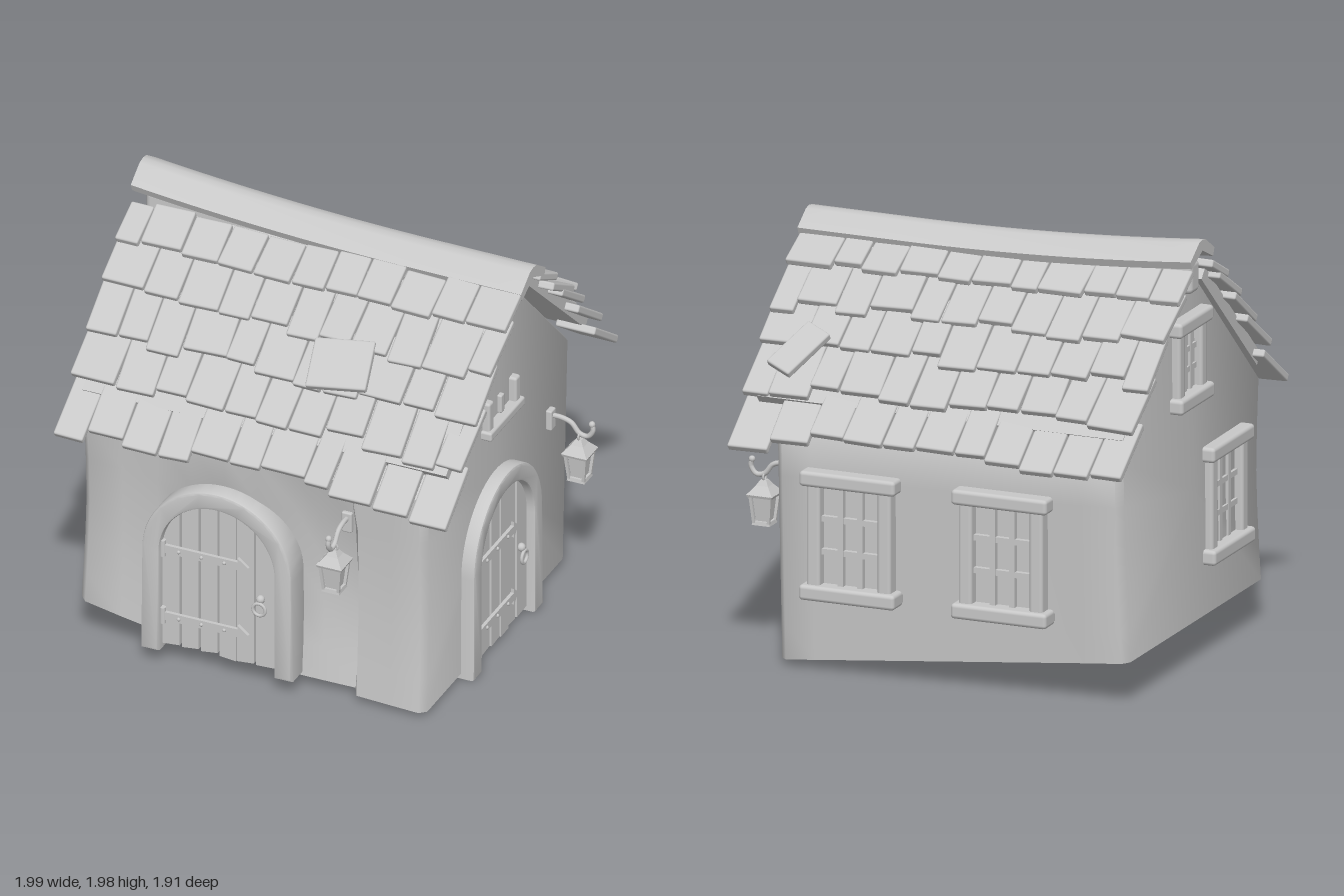
import * as THREE from 'three';
import { toCreasedNormals } from 'three/addons/utils/BufferGeometryUtils.js';
import { RoundedBoxGeometry } from 'three/addons/geometries/RoundedBoxGeometry.js';

const clay = new THREE.MeshStandardMaterial({ color: 0xc8c8c8 });
clay.name = 'clay grey';

let seed = 7;
const rnd = (a) => ((seed = (seed * 16807) % 2147483647) / 2147483647 - 0.5) * 2 * a;

function add(parent, name, geometry, x = 0, y = 0, z = 0) {
  const mesh = new THREE.Mesh(geometry, clay);
  mesh.name = name;
  mesh.position.set(x, y, z);
  parent.add(mesh);
  return mesh;
}
const box = (w, h, d) => new THREE.BoxGeometry(w, h, d);
const soft = (w, h, d) => new RoundedBoxGeometry(w, h, d, 2, Math.min(w, h, d) * 0.25);
const group = (name, x, y, z, ry = 0) => {
  const g = new THREE.Group();
  g.name = name;
  g.position.set(x, y, z);
  g.rotation.y = ry;
  return g;
};

// Crooked wall body: gable sections lofted along x, with a recess behind the front door
function wallGeometry() {
  const stations = [-0.89, -0.86, -0.7, -0.53, -0.36, -0.2, -0.04, 0.13, 0.25, 0.41, 0.44, 0.6, 0.74, 0.77];
  const levels = [0, 0.15, 0.35, 0.55, 0.78, 1];
  const pos = [], index = [];
  const ring = levels.length * 2 + 1;
  stations.forEach((x, i) => {
    const end = i === 0 || i === stations.length - 1 ? 0.03 : 0;
    const t = (0.77 - x) / 1.66;
    const frontFloor = 0.025 + 0.07 * t + 0.105 * t ** 3;
    const backFloor = 0.025 + 0.175 * t;
    const put = (z, y) => pos.push(x - (x < -0.8 ? Math.max(0, 0.7 - y) * 0.024 : 0), y, z);
    for (const l of levels) {
      const notch = 0.55 * Math.max(0, 1 - Math.abs(x + 0.2) / 0.33) * Math.max(0, 1 - l / 0.7);
      const step = x > 0.1 && x < 0.42 ? 0.03 + (x - 0.1) * 0.2 * Math.sin(Math.PI * Math.min(1, l + 0.15)) : 0;
      put(0.785 - 0.025 * Math.sin(Math.PI * l) - notch - (l < 1 ? step : 0) - end, frontFloor + (1.12 - frontFloor) * l);
    }
    put(-0.02, 1.85 - end * 0.3);
    for (const l of [...levels].reverse()) put(-0.7 - 0.05 * l + end, backFloor + (1.12 - backFloor) * l);
  });
  for (let i = 0; i < stations.length - 1; i++) {
    for (let j = 0; j < ring; j++) {
      const k = (j + 1) % ring, a = i * ring + j, b = i * ring + k;
      index.push(a, a + ring, b, a + ring, b + ring, b);
    }
  }
  const last = (stations.length - 1) * ring, c = pos.length / 3;
  pos.push(-0.9, 0.8, 0.03, 0.77, 0.8, 0.03);
  for (let j = 0; j < ring; j++) {
    const k = (j + 1) % ring;
    index.push(c, j, k, c + 1, last + k, last + j);
  }
  const g = new THREE.BufferGeometry();
  g.setAttribute('position', new THREE.Float32BufferAttribute(pos, 3));
  g.setIndex(index);
  return toCreasedNormals(g, 0.9);
}

// Arched plank door with strap hinges and a ring handle
function door(x, y, z, ry) {
  const d = group('door', x, y, z, ry);
  const f = new THREE.Shape();
  f.moveTo(-0.355, 0).lineTo(-0.35, 0.5);
  f.absarc(0, 0.5, 0.35, Math.PI, 0, true);
  f.lineTo(0.355, 0).lineTo(0.29, 0).lineTo(0.29, 0.5);
  f.absarc(0, 0.5, 0.29, 0, Math.PI, false);
  f.lineTo(-0.29, 0);
  const frame = new THREE.ExtrudeGeometry(f, { depth: 0.12, bevelSize: 0.012, bevelThickness: 0.012, bevelSegments: 2, curveSegments: 20 });
  add(d, 'doorFrame', toCreasedNormals(frame, 0.7), 0, 0, -0.06);
  const cuts = [-0.29, -0.19, -0.1, -0.01, 0.08, 0.17, 0.29];
  for (let i = 0; i < 6; i++) {
    const a = cuts[i] + 0.005, b = cuts[i + 1] - 0.005, s = new THREE.Shape();
    s.moveTo(a, 0.01).lineTo(b, 0.01 + rnd(0.01));
    for (let k = 4; k >= 0; k--) {
      const px = a + ((b - a) * k) / 4;
      s.lineTo(px, 0.5 + Math.sqrt(Math.max(0, 0.0841 - px * px)));
    }
    add(d, 'doorPlank', new THREE.ExtrudeGeometry(s, { depth: 0.04, bevelEnabled: false }), 0, 0, -0.01 + rnd(0.006));
  }
  const tip = new THREE.Shape();
  tip.moveTo(-0.02, -0.04).lineTo(0.03, 0).lineTo(-0.02, 0.04);
  for (const h of [0.165, 0.51]) {
    add(d, 'hingeStrap', box(0.37, 0.04, 0.016), -0.09, h, 0.045);
    add(d, 'hingeTip', new THREE.ExtrudeGeometry(tip, { depth: 0.016, bevelEnabled: false }), 0.115, h, 0.037);
    add(d, 'hingePin', new THREE.CylinderGeometry(0.014, 0.014, 0.08, 10), -0.27, h, 0.045);
    for (const r of [-0.19, -0.08, 0.03]) add(d, 'rivet', new THREE.SphereGeometry(0.009, 8, 6), r, h, 0.053);
  }
  add(d, 'handleBoss', new THREE.SphereGeometry(0.02, 10, 8), 0.2, 0.36, 0.04);
  add(d, 'handleRing', new THREE.TorusGeometry(0.03, 0.008, 8, 18), 0.2, 0.315, 0.055);
  return d;
}

// Lantern on a curled wall bracket
function lantern(x, y, z, ry) {
  const l = group('lantern', x, y, z, ry);
  add(l, 'bracketPlate', soft(0.05, 0.1, 0.03), 0, -0.02, 0);
  const p = [[0, 0], [0, 0.05], [-0.015, 0.1], [-0.06, 0.14], [-0.065, 0.18], [-0.03, 0.205], [0, 0.2]];
  const curve = new THREE.CatmullRomCurve3(p.map(([py, pz]) => new THREE.Vector3(0, py, pz)));
  add(l, 'bracketArm', new THREE.TubeGeometry(curve, 24, 0.012, 8));
  add(l, 'armEnd', new THREE.SphereGeometry(0.015, 10, 8), 0, 0, 0.2);
  const c = group('lanternBody', 0, 0, 0.14);
  l.add(c);
  add(c, 'hangingRing', new THREE.TorusGeometry(0.016, 0.005, 6, 14), 0, -0.075, 0);
  const frustum = (name, top, bottom, h, py) => {
    const g = new THREE.CylinderGeometry(top * Math.SQRT2, bottom * Math.SQRT2, h, 4).toNonIndexed();
    g.computeVertexNormals();
    add(c, name, g, 0, py, 0).rotation.y = Math.PI / 4;
  };
  frustum('lanternCap', 0.014, 0.03, 0.025, -0.1);
  frustum('lanternRoof', 0.028, 0.062, 0.04, -0.13);
  frustum('lanternEave', 0.062, 0.058, 0.012, -0.155);
  frustum('lanternGlass', 0.04, 0.028, 0.12, -0.22);
  frustum('lanternBase', 0.04, 0.043, 0.018, -0.281);
  for (const sx of [-1, 1]) for (const sz of [-1, 1]) {
    const post = add(c, 'lanternPost', box(0.013, 0.12, 0.013), sx * 0.041, -0.22, sz * 0.041);
    post.rotation.set(sz * 0.1, 0, sx * -0.1);
  }
  return l;
}

// Timber window with lintel, sill and glazing bars
function window_(w, h, x, y, z, ry) {
  const g = group('window', x, y, z, ry);
  add(g, 'lintel', soft(w, 0.07, 0.1), 0, h / 2 - 0.035, 0.03);
  add(g, 'sill', soft(w, 0.07, 0.11), 0, -h / 2 + 0.035, 0.03);
  for (const s of [-1, 1]) add(g, 'jamb', soft(0.065, h - 0.1, 0.08), s * (w / 2 - 0.06), 0, 0.02);
  add(g, 'pane', box(w - 0.14, h - 0.1, 0.02), 0, 0, 0);
  for (const s of [-1, 1]) {
    add(g, 'uprightBar', box(0.026, h - 0.12, 0.03), s * (w - 0.18) / 6, 0, 0.02);
    add(g, 'crossBar', box(w - 0.16, 0.026, 0.03), 0, s * (h - 0.14) / 6, 0.018);
  }
  return g;
}

// One slope: deck plus five overlapping rows of uneven shingles
function roofSlope(side) {
  const g = group(side > 0 ? 'frontRoof' : 'backRoof', 0, 0, -0.02, side > 0 ? 0 : Math.PI);
  add(g, 'roofDeck', box(1.76, 0.06, 0.82), -0.03 * side, 1.498, 0.43).rotation.x = 0.742;
  // z and y give the top of the lower edge
  const shingle = (x, y, z, w, len, yaw, tilt) => {
    const cy = y + (len / 2) * Math.sin(tilt) - 0.018 * Math.cos(tilt);
    const cz = z - (len / 2) * Math.cos(tilt) - 0.018 * Math.sin(tilt);
    add(g, 'shingle', soft(w, 0.036, len), x, cy, cz).rotation.set(tilt, yaw, rnd(0.025));
  };
  const rows = [[0.28, 1.745, 0.2, 0.5], [0.45, 1.605, 0.28, 0.56], [0.605, 1.465, 0.3, 0.62], [0.76, 1.32, 0.31, 0.63], [0.91, 1.14, 0.31, 0.64]];
  rows.forEach(([tz, ty, len, tilt], r) => {
    let x = -0.97;
    const n = 11;
    for (let i = 0; i < n; i++) {
      const next = i === n - 1 ? 0.92 : -0.97 + ((i + 1) * 1.89) / n + rnd(0.025) + (r % 2 ? 0.035 : -0.03);
      const mid = (x + next) / 2, left = Math.max(0, -mid);
      const sag = -0.12 * Math.max(0, mid) ** 3 * (r / 4) + 0.02 * left * (1 - r / 2);
      const slip = rnd(r ? 0.026 : 0.012);
      shingle(mid * side, ty + sag - slip * 0.85, tz + slip, next - x - 0.006, len, rnd(0.035), tilt + rnd(0.02));
      x = next;
    }
  });
  // Slipped tile lying loose on the slope
  if (side > 0) shingle(0.24, 1.485, 0.64, 0.28, 0.24, 0.16, 0.61);
  else shingle(-0.69, 1.38, 0.77, 0.14, 0.27, -0.45, 0.64);
  return g;
}

// Sagging ridge cap: chevron swept along x
function ridgeGeometry() {
  const s = new THREE.Shape();
  s.moveTo(-0.13, -0.07).lineTo(-0.115, -0.105).lineTo(0, -0.05).lineTo(0.115, -0.105);
  s.lineTo(0.13, -0.07).lineTo(0.035, -0.006).lineTo(0, 0).lineTo(-0.035, -0.006);
  const g = new THREE.ExtrudeGeometry(s, { depth: 1.9, steps: 16, bevelEnabled: false });
  g.rotateY(Math.PI / 2);
  g.translate(-0.98, 0, 0);
  const p = g.attributes.position;
  for (let i = 0; i < p.count; i++) {
    const x = p.getX(i), t = (0.4 - x) / 1.38;
    p.setY(i, p.getY(i) + 1.912 + (t > 0 ? 0.07 * t * t : 0));
    p.setZ(i, p.getZ(i) - 0.047 + 0.013 * x);
  }
  return toCreasedNormals(g, 0.5);
}

export function createModel() {
  const house = new THREE.Group();
  house.name = 'cottage';
  add(house, 'walls', wallGeometry());
  house.add(roofSlope(1), roofSlope(-1));
  add(house, 'ridgeCap', ridgeGeometry());
  add(house, 'ridgeBeam', soft(1.8, 0.15, 0.1), -0.03, 1.795, -0.02);

  house.add(door(-0.205, 0.085, 0.785, 0));
  house.add(door(0.762, 0.012, 0.035, Math.PI / 2));
  house.add(lantern(0.38, 0.92, 0.745, 0));
  house.add(lantern(0.79, 0.865, -0.5, Math.PI / 2));

  for (const x of [0.4, -0.33]) house.add(window_(0.46, 0.59, x, 0.64, -0.735, Math.PI));
  house.add(window_(0.45, 0.54, -0.875, 0.7, 0.35, -Math.PI / 2));
  house.add(window_(0.36, 0.42, -0.87, 1.42, -0.04, -Math.PI / 2));

  // Small broken rail on the right gable
  const rail = group('gableRail', 0.78, 1.13, 0.01, Math.PI / 2);
  add(rail, 'railLedge', soft(0.36, 0.045, 0.08));
  add(rail, 'railPost', soft(0.05, 0.15, 0.05), -0.14, 0.085, 0);
  add(rail, 'railPost', soft(0.035, 0.09, 0.03), 0.01, 0.07, -0.005);
  add(rail, 'railPost', soft(0.05, 0.13, 0.05), 0.14, 0.075, 0);
  house.add(rail);
  return house;
}
